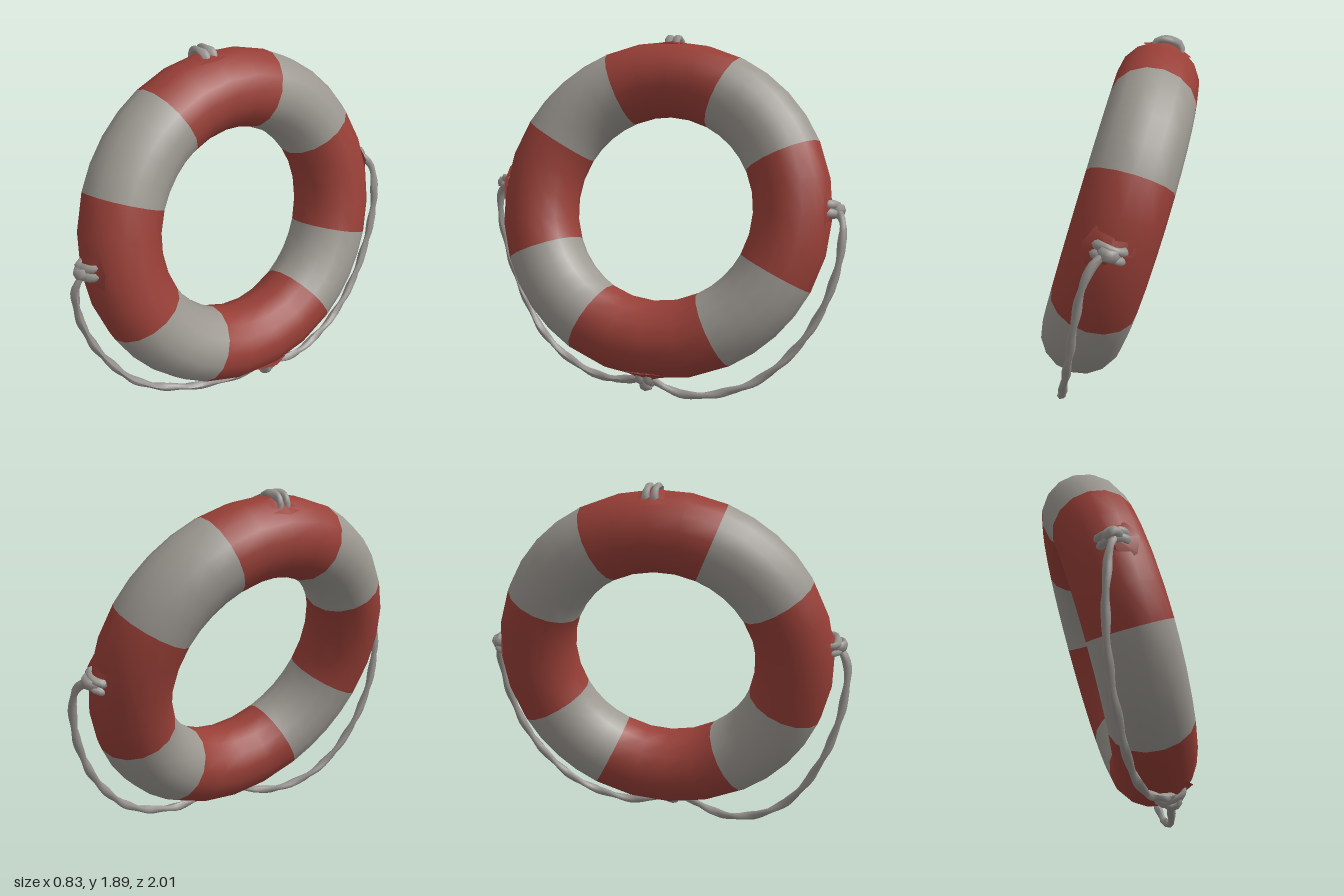
import * as THREE from 'three';

const TILT = 0.288, CENTRE_Y = 0.97, RING = 0.708, TUBE = 0.208;
const rad = THREE.MathUtils.degToRad;

// Rope along a smooth curve, with a twisted, lumpy section
function ropeGeometry(points, segments, radius) {
  const curve = new THREE.CatmullRomCurve3(points.map(p => new THREE.Vector3(...p)));
  const sides = 7;
  const geo = new THREE.TubeGeometry(curve, segments, radius, sides, false);
  const pos = geo.attributes.position, p = new THREE.Vector3(), c = new THREE.Vector3();
  for (let i = 0; i < pos.count; i++) {
    const ring = Math.floor(i / (sides + 1)), side = i % (sides + 1);
    curve.getPointAt(ring / segments, c);
    p.fromBufferAttribute(pos, i).sub(c);
    p.multiplyScalar(0.95 + 0.2 * Math.cos((2 * side * 2 * Math.PI) / sides + ring * 0.9)).add(c);
    pos.setXYZ(i, p.x, p.y, p.z);
  }
  geo.computeVertexNormals();
  return geo;
}

export function createModel() {
  const model = new THREE.Group();
  model.name = 'lifebuoy';
  const make = (name, color) => {
    const m = new THREE.MeshStandardMaterial({ color });
    m.name = name;
    return m;
  };
  const red = make('red', 0x983f37);
  const white = make('weatheredWhite', 0x9c9891);
  const rope = make('ropeGrey', 0x989490);
  rope.side = THREE.DoubleSide;

  const add = (parent, name, geo, mat) => {
    const mesh = new THREE.Mesh(geo, mat);
    mesh.name = name;
    parent.add(mesh);
    return mesh;
  };

  // Tilted frame: local z is the ring axis, angles run from the top towards the front
  const tilted = new THREE.Group();
  tilted.name = 'tiltedRing';
  tilted.position.y = CENTRE_Y;
  tilted.rotation.z = TILT;
  const ring = new THREE.Group();
  ring.name = 'ring';
  ring.rotation.y = Math.PI / 2;
  tilted.add(ring);
  model.add(tilted);

  // Eight alternating red and white sections
  const bounds = [-25, 24, 61, 112, 151, 208.5, 245, 296, 335];
  for (let i = 0; i < 8; i++) {
    const arc = rad(bounds[i + 1] - bounds[i]);
    const geo = new THREE.TorusGeometry(RING, TUBE, 16, 4, arc);
    geo.rotateZ(rad(90 + bounds[i]));
    geo.scale(1, 1, 1.04);
    add(ring, i % 2 ? 'whiteSection' : 'redSection', geo, i % 2 ? white : red);
  }

  // Rope knots: two straps across the tube with a wrap around the middle
  const knots = [['topKnot', 0, 0], ['frontKnot', 84.5, 0.02], ['bottomKnot', 180, 0.02], ['backKnot', 273, 0.01]];
  for (const [name, angle, shift] of knots) {
    const t = rad(90 + angle);
    const knot = new THREE.Group();
    knot.name = name;
    knot.position.set(0.905 * Math.cos(t), 0.905 * Math.sin(t), shift);
    knot.rotation.z = t;
    ring.add(knot);
    // Gathered cloth beneath the knot
    const pucker = new THREE.ConeGeometry(0.13, 0.05, 8);
    pucker.rotateZ(-Math.PI / 2);
    add(knot, 'pucker', pucker, red).position.x = 0.003;
    for (const y of [-0.022, 0.022]) {
      const strap = [[-0.04, y, -0.07], [0.015, y, -0.058], [0.032, y, 0], [0.015, y, 0.058], [-0.04, y, 0.07]];
      add(knot, 'strap', ropeGeometry(strap, 10, 0.021), rope);
    }
    if (angle) {
      const wrap = new THREE.TorusGeometry(0.036, 0.019, 6, 10);
      wrap.rotateX(Math.PI / 2);
      wrap.rotateY(0.3);
      wrap.scale(1, 1.6, 1);
      add(knot, 'wrap', wrap, rope).position.x = 0.025;
    }
  }

  // Hanging ropes from each side knot down to the bottom knot
  const front = [[0, 1.06, 0.93], [-0.015, 0.98, 0.975], [-0.03, 0.85, 0.98], [-0.035, 0.62, 0.935],
    [-0.015, 0.4, 0.845], [0.03, 0.2, 0.71], [0.075, 0.08, 0.54], [0.15, 0.027, 0.33],
    [0.24, 0.06, 0.14], [0.285, 0.1, 0.02]];
  const back = [[0, 1.03, -0.93], [0.07, 0.97, -0.975], [0.11, 0.88, -0.98], [0.15, 0.7, -0.955],
    [0.19, 0.47, -0.87], [0.23, 0.28, -0.74], [0.26, 0.14, -0.58], [0.28, 0.07, -0.42],
    [0.29, 0.035, -0.25], [0.285, 0.055, -0.12], [0.285, 0.1, -0.02]];
  add(model, 'frontRope', ropeGeometry(front, 56, 0.021), rope);
  add(model, 'backRope', ropeGeometry(back, 56, 0.021), rope);
  return model;
}
